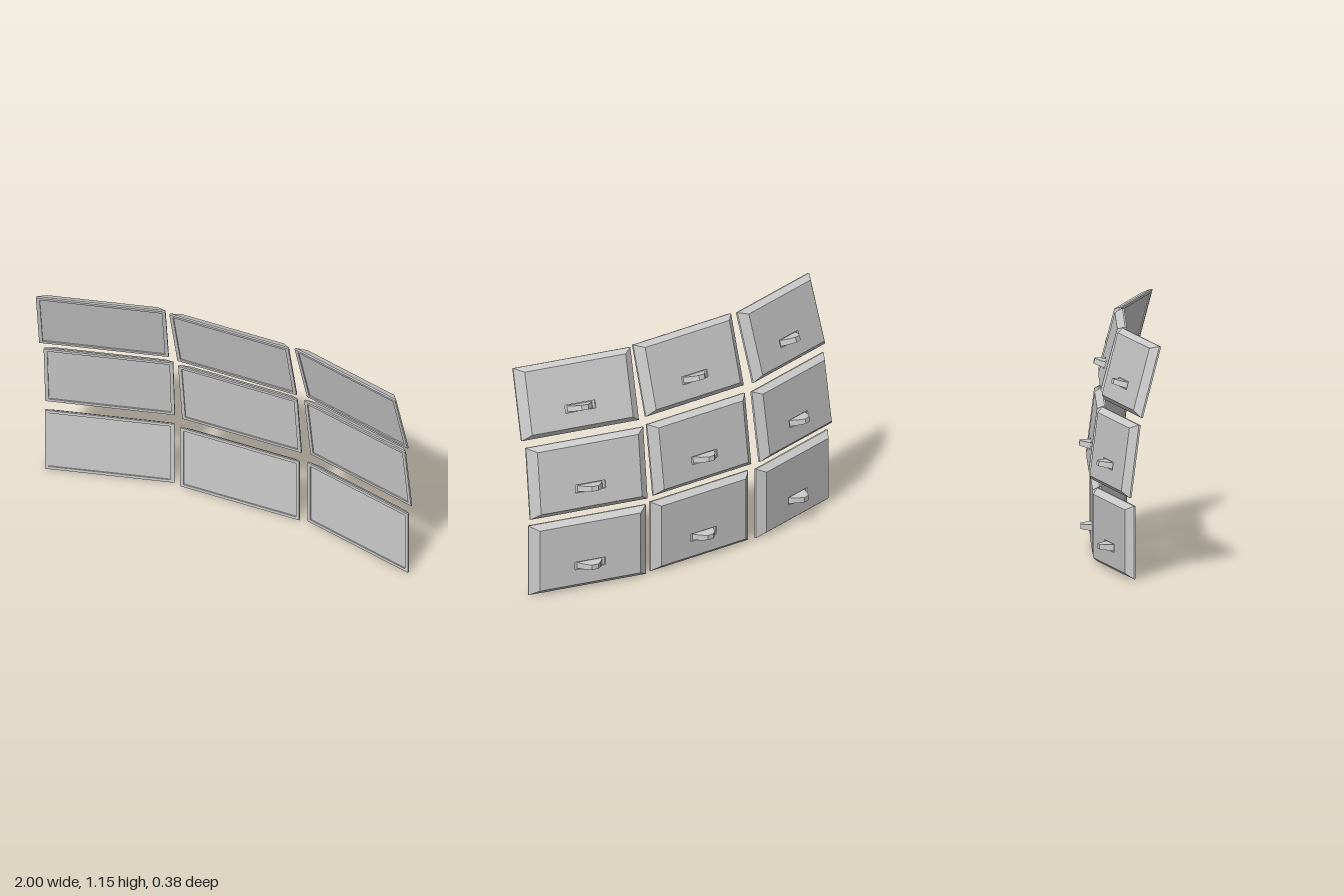
import * as THREE from 'three';

const W = 0.3225, H = 0.1815, DEPTH = 0.042; // half width, half height, thickness
const GRIP_Y = -0.06;
const material = new THREE.MeshStandardMaterial({ color: 0xcccccc, flatShading: true });

// Skin a chain of rectangular rings [halfW, halfH, z, centreY], capped at both ends.
function ringShell(rings) {
  const pos = [];
  const corners = rings.map(([w, h, z, cy = 0]) => [
    [-w, cy - h, z], [w, cy - h, z], [w, cy + h, z], [-w, cy + h, z],
  ]);
  const quad = (a, b, c, d) => pos.push(...a, ...b, ...c, ...a, ...c, ...d);
  quad(...corners[0]);
  for (let k = 0; k < corners.length - 1; k++) {
    for (let i = 0; i < 4; i++) {
      const j = (i + 1) % 4;
      quad(corners[k + 1][i], corners[k + 1][j], corners[k][j], corners[k][i]);
    }
  }
  quad(...corners[corners.length - 1].slice().reverse());
  const geo = new THREE.BufferGeometry();
  geo.setAttribute('position', new THREE.Float32BufferAttribute(pos, 3));
  geo.computeVertexNormals();
  return geo;
}

// Recessed screen, bezel, rim, sloping back and the slot that holds the grip
const panelGeometry = ringShell([
  [W - 0.018, H - 0.016, -0.006],
  [W - 0.018, H - 0.016, 0],
  [W, H, 0],
  [W, H, -0.009],
  [W - 0.045, H - 0.024, -DEPTH],
  [0.083, 0.02, -DEPTH, GRIP_Y],
  [0.083, 0.02, -DEPTH + 0.008, GRIP_Y],
]);

// Half-round faceted grip, lying flat and pointing backwards
function makeGripGeometry() {
  const thick = 0.03, sink = 0.008;
  const outline = [[-0.068, -sink], [0.068, -sink], [0.065, 0], [0.042, 0.032],
    [0.018, 0.053], [-0.018, 0.053], [-0.042, 0.032], [-0.065, 0]];
  const shape = new THREE.Shape(outline.map(([x, y]) => new THREE.Vector2(x, y)));
  const geo = new THREE.ExtrudeGeometry(shape, { depth: thick, bevelEnabled: false });
  geo.translate(0, 0, -thick / 2);
  geo.rotateX(-Math.PI / 2);
  // thin it slightly towards the tip
  const p = geo.attributes.position;
  for (let i = 0; i < p.count; i++) p.setY(i, p.getY(i) * (1 + 3 * p.getZ(i)));
  geo.translate(0, GRIP_Y, -DEPTH);
  geo.computeVertexNormals();
  return geo;
}
const gripGeometry = makeGripGeometry();

function makeScreen(name) {
  const screen = new THREE.Group();
  screen.name = name;
  const panel = new THREE.Mesh(panelGeometry, material);
  panel.name = 'panel';
  const grip = new THREE.Mesh(gripGeometry, material);
  grip.name = 'backGrip';
  screen.add(panel, grip);
  return screen;
}

export function createModel() {
  const wall = new THREE.Group();
  wall.name = 'screenWall';
  // Rows lean further forward towards the top; outer columns turn inwards
  const rows = [
    { name: 'bottom', y: 0.182, pitch: 0, midZ: -0.089, sideZ: -0.018, sideX: 0.672 },
    { name: 'middle', y: 0.583, pitch: 7.5, midZ: -0.088, sideZ: -0.016, sideX: 0.673 },
    { name: 'top', y: 0.976, pitch: 15, midZ: -0.01, sideZ: 0.062, sideX: 0.674 },
  ];
  const columns = [['Right', -1], ['Centre', 0], ['Left', 1]];
  for (const row of rows) {
    for (const [label, side] of columns) {
      const screen = makeScreen(`${row.name}${label}Screen`);
      screen.position.set(side * row.sideX, row.y, side ? row.sideZ : row.midZ);
      screen.rotation.set(
        THREE.MathUtils.degToRad(row.pitch),
        THREE.MathUtils.degToRad(-15 * side), 0, 'YXZ');
      wall.add(screen);
    }
  }
  return wall;
}
